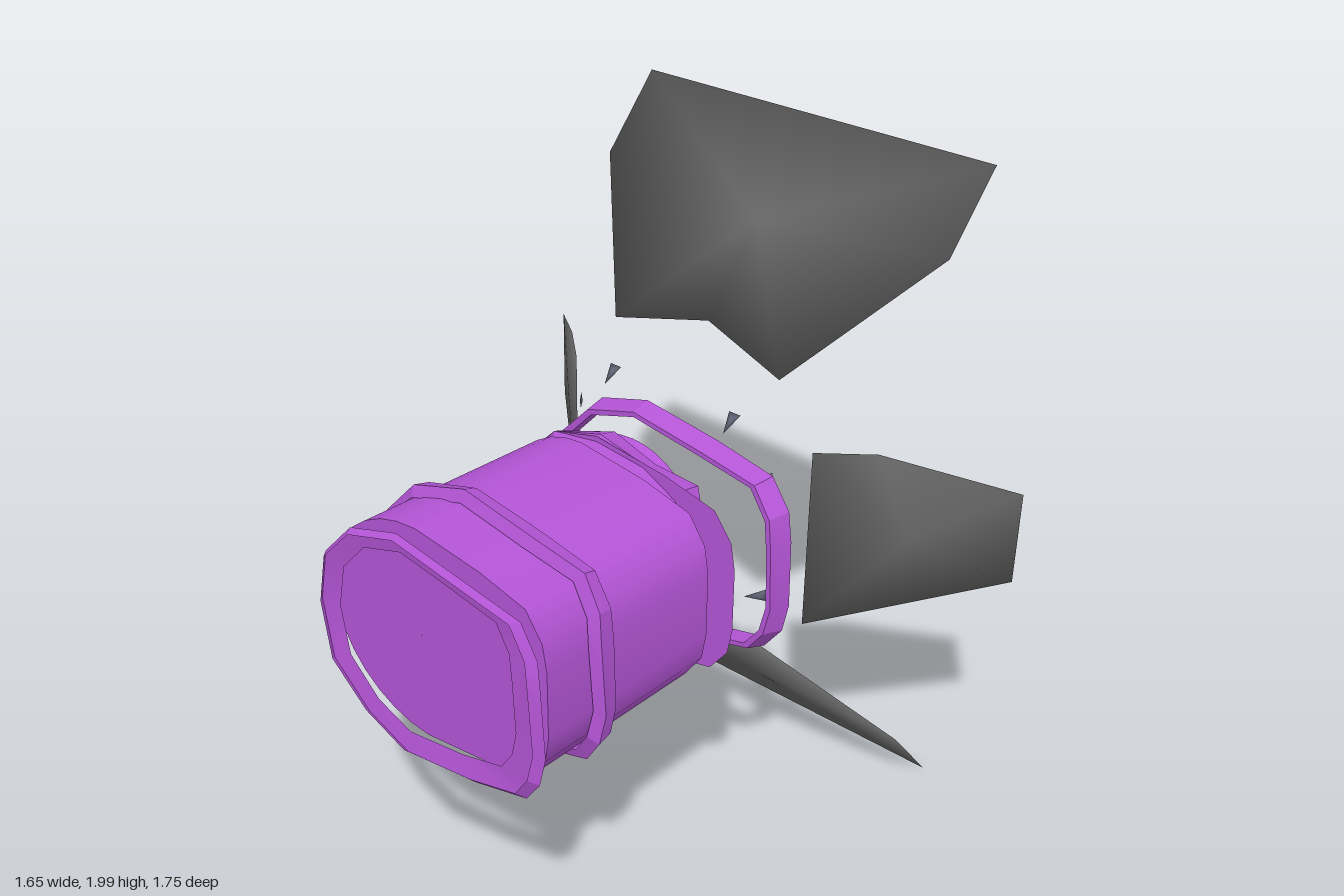
import * as THREE from 'three';
import { toCreasedNormals } from 'three/addons/utils/BufferGeometryUtils.js';

const CY = 1.015; // height of the lamp axis

// Upper front quarter of the lamp section, as fractions of front reach and half height
const FRONT = [[1, 0.3], [0.97, 0.55], [0.85, 0.79], [0.5, 0.91]];

export function createModel() {
  const model = new THREE.Group();
  const purple = new THREE.MeshStandardMaterial({ color: 0xb455d6, side: THREE.DoubleSide });
  const darkGrey = new THREE.MeshStandardMaterial({ color: 0x666666 });
  const slate = new THREE.MeshStandardMaterial({ color: 0x666a7c });

  const add = (name, geometry, material) => {
    const mesh = new THREE.Mesh(geometry, material);
    mesh.name = name;
    model.add(mesh);
  };

  // Loft along x: round at the back (-z), boxier at the front (+z).
  // Station: [x, half height, back reach, front reach, jag]
  const loft = (stations, backSteps, crease) => {
    const arc = Array.from({ length: backSteps + 1 }, (_, i) => {
      const a = (i / backSteps) * Math.PI;
      return [-Math.sin(a), Math.cos(a)];
    });
    const section = [...FRONT, ...arc, ...FRONT.map(([z, y]) => [z, -y]).reverse()];
    const sides = section.length;
    const pos = [], index = [];
    stations.forEach(([x, h, back, front, jag = 0]) => {
      section.forEach(([z, y], i) => {
        pos.push(x + jag * (((i * 7) % 5) / 4 - 0.5), CY + h * y, z * (z > 0 ? front : back));
      });
    });
    for (let k = 0; k < stations.length - 1; k++) {
      for (let i = 0; i < sides; i++) {
        const j = (i + 1) % sides;
        const a = k * sides + i, b = k * sides + j, c = a + sides, d = b + sides;
        index.push(a, c, b, b, c, d);
      }
    }
    const g = new THREE.BufferGeometry();
    g.setAttribute('position', new THREE.Float32BufferAttribute(pos, 3));
    g.setIndex(index);
    return toCreasedNormals(g, crease);
  };

  // Lamp housing with closed ends
  add('housing', loft([
    [-0.74, 0.001, 0.001, 0.001],
    [-0.74, 0.32, 0.345, 0.45],
    [-0.14, 0.32, 0.3, 0.45],
    [-0.14, 0.001, 0.001, 0.001],
  ], 16, 0.8), purple);

  // Loose faceted bands around the housing
  add('rearBand', loft([
    [-0.82, 0.32, 0.315, 0.47, 0.015], [-0.805, 0.335, 0.325, 0.5, 0.015],
    [-0.795, 0.275, 0.26, 0.39, 0.01],
  ], 6, 0.3), purple);
  add('middleBand', loft([
    [-0.59, 0.325, 0.34, 0.455, 0.02], [-0.575, 0.36, 0.35, 0.485, 0.02],
    [-0.53, 0.345, 0.345, 0.48, 0.01], [-0.52, 0.32, 0.33, 0.455, 0.01],
  ], 6, 0.3), purple);
  add('neckBand', loft([
    [-0.11, 0.27, 0.26, 0.29, 0.02], [-0.07, 0.315, 0.32, 0.34, 0.02],
    [-0.02, 0.3, 0.325, 0.34, 0.05],
  ], 6, 0.3), purple);
  add('neckFlange', loft([
    [-0.08, 0.285, 0.29, 0.33], [-0.08, 0.315, 0.32, 0.49],
  ], 6, 0.3), purple);
  add('frontHoop', loft([
    [0.065, 0.33, 0.325, 0.5, 0.015], [0.125, 0.345, 0.33, 0.52, 0.008],
    [0.125, 0.315, 0.3, 0.485, 0.008], [0.065, 0.315, 0.3, 0.485, 0.015],
    [0.065, 0.33, 0.325, 0.5, 0.015],
  ], 6, 0.3), purple);

  // Reflector cup opening towards +x
  const cup = new THREE.LatheGeometry([
    [0, -0.12], [0.2, -0.12], [0.225, -0.02], [0.25, 0.065], [0.243, 0.065],
    [0.2, 0], [0.13, -0.055], [0.06, -0.083], [0, -0.09],
  ].map(([r, x]) => new THREE.Vector2(r, x)), 36);
  cup.rotateZ(-Math.PI / 2).translate(0, CY, 0);
  add('reflector', toCreasedNormals(cup, 0.7), purple);

  // Thin lens-like plate: clockwise outline (u, v) with v running outwards along
  // dir, raised to a soft peak on both faces; normals are shared around the rim
  const panel = (name, outline, peak, origin, dir, across, bulge, material) => {
    const pos = [...peak, bulge, ...peak, -bulge];
    const index = [];
    outline.forEach(([u, v], i) => {
      const cur = i + 2, next = ((i + 1) % outline.length) + 2;
      pos.push(u, v, 0);
      index.push(0, next, cur, 1, cur, next);
    });
    const g = new THREE.BufferGeometry();
    g.setAttribute('position', new THREE.Float32BufferAttribute(pos, 3));
    g.setIndex(index);
    const u = new THREE.Vector3(...across);
    const v = new THREE.Vector3(...dir).normalize();
    const m = new THREE.Matrix4().makeBasis(u, v, u.clone().cross(v));
    m.setPosition(...origin);
    g.applyMatrix4(m);
    g.computeVertexNormals();
    add(name, g, material);
  };

  // Four flared barn doors
  const wide = [[-0.3, 0], [-0.605, 0.46], [-0.605, 0.74], [0.605, 0.74],
    [0.605, 0.46], [0.3, 0], [0, 0.085]];
  const narrow = [[-0.28, 0], [-0.135, 0.585], [0.15, 0.585], [0.275, 0.18], [0.28, 0]];
  panel('topDoor', wide, [0, 0.4], [0.325, 1.45, 0], [0.49, 0.545, 0], [0, 0, 1], 0.01, darkGrey);
  panel('bottomDoor', wide, [0, 0.4], [0.31, 0.575, 0], [0.47, -0.565, 0], [0, 0, 1], 0.01, darkGrey);
  for (const s of [1, -1]) {
    panel(s > 0 ? 'frontDoor' : 'backDoor', narrow, [0, 0.28], [0.305, 1.005, 0.44 * s],
      [0.39, 0, 0.43 * s], [0, 1, 0], 0.007, darkGrey);
  }

  // Small triangular hinge clips
  const clip = [[0, 0], [-0.02, 0.065], [0.02, 0.065]];
  for (const s of [1, -1]) {
    panel('topClip', clip, [0, 0.045], [0.19, 1.31, 0.22 * s], [1, 0.9, 0], [0, 0, 1], 0.004, slate);
    for (const y of [1.2, 0.82]) {
      panel('sideClip', clip, [0, 0.045], [0.19, y, 0.315 * s], [1, 0, 0.9 * s], [0, 1, 0], 0.004, slate);
    }
  }
  panel('bottomClip', clip, [0, 0.045], [0.19, 0.715, -0.21], [1, -1, 0], [0, 0, 1], 0.004, slate);

  return model;
}
